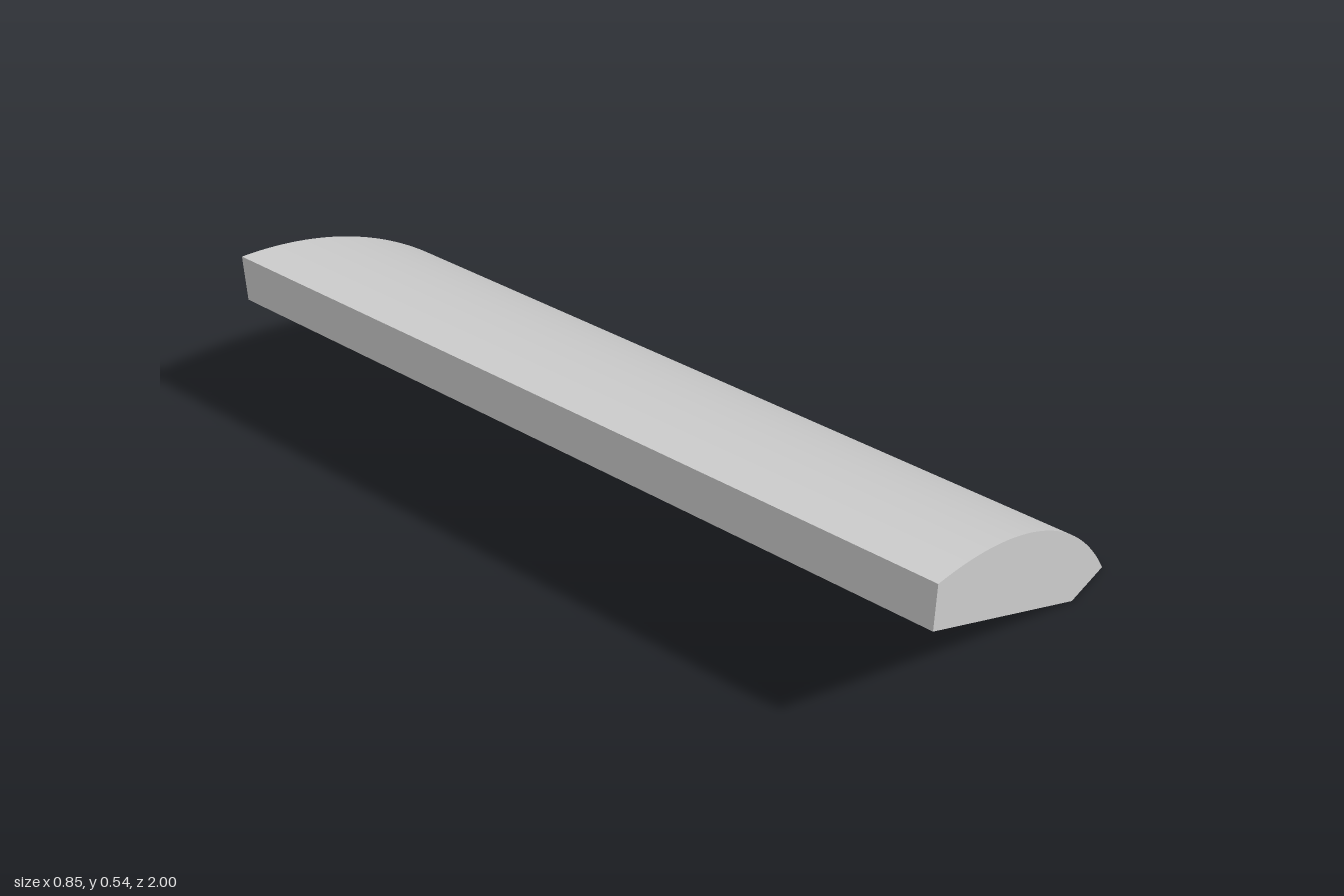
import * as THREE from 'three';
import { toCreasedNormals } from 'three/addons/utils/BufferGeometryUtils.js';

export function createModel() {
  const group = new THREE.Group();
  group.name = 'curvedSlab';

  // Cross-section: flat foot, sloping underside, upright rear edge, arched top
  const halfWidth = 0.424, height = 0.54, length = 2;
  const cx = -0.6206, cy = -0.7047, radius = 1.26;
  const section = new THREE.Shape();
  section.moveTo(-halfWidth, height);
  section.lineTo(-halfWidth, 0.413);
  section.lineTo(0.27, 0);
  section.lineTo(halfWidth, 0);
  section.absarc(cx, cy, radius,
    Math.atan2(-cy, halfWidth - cx),
    Math.atan2(height - cy, -halfWidth - cx), false);

  // Extrude along z and smooth only the arched face
  const extruded = new THREE.ExtrudeGeometry(section, {
    depth: length, bevelEnabled: false, curveSegments: 24,
  });
  extruded.translate(0, 0, -length / 2);
  const slab = new THREE.Mesh(
    toCreasedNormals(extruded, Math.PI / 9),
    new THREE.MeshStandardMaterial({ color: 0xcccccc }),
  );
  slab.name = 'archedSlab';
  group.add(slab);
  return group;
}
